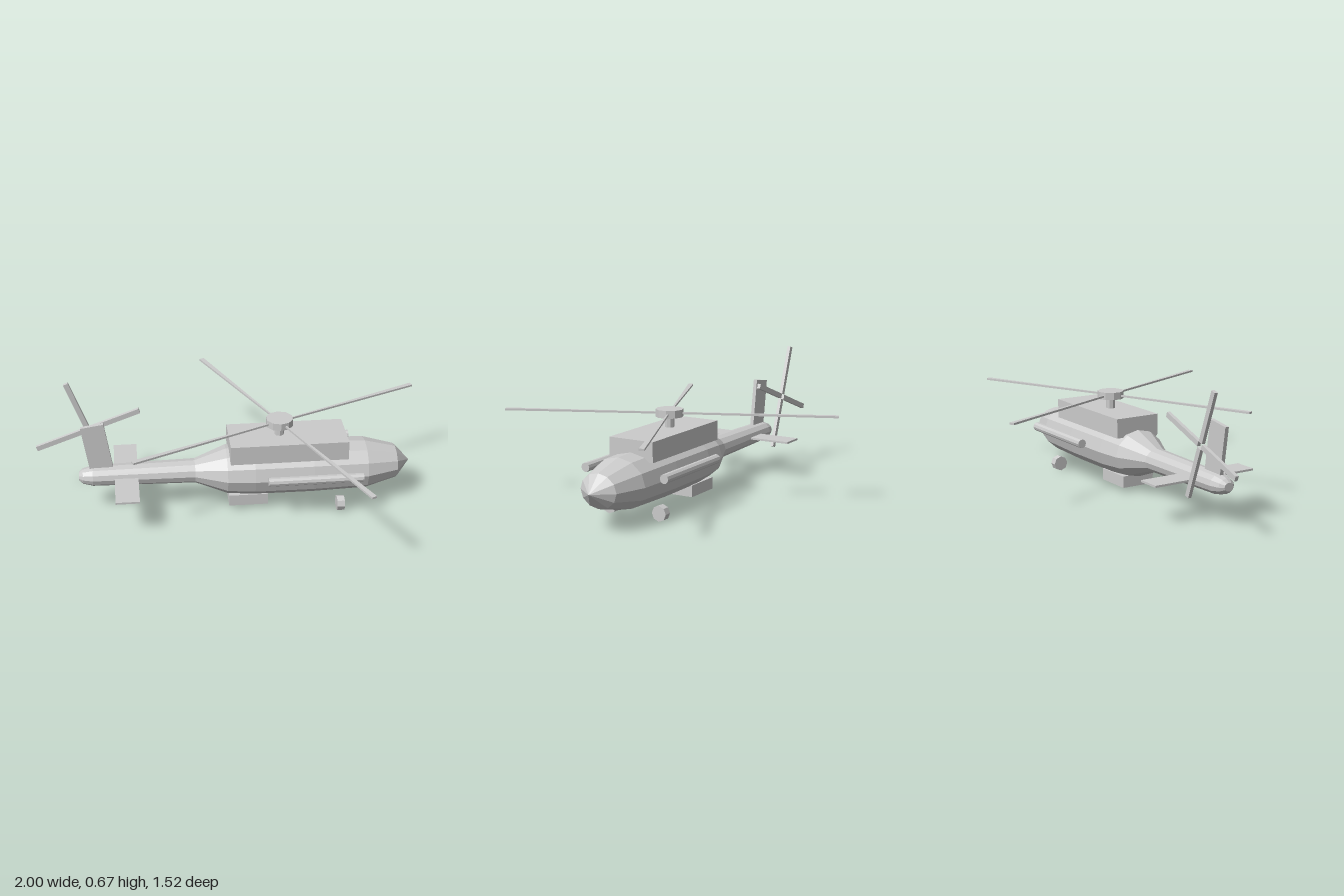
import * as THREE from 'three';

const material = new THREE.MeshStandardMaterial({ color: 0xcccccc, flatShading: true });

function add(parent, name, geometry, x = 0, y = 0, z = 0) {
  const mesh = new THREE.Mesh(geometry, material);
  mesh.name = name;
  mesh.position.set(x, y, z);
  parent.add(mesh);
  return mesh;
}

const box = (w, h, d) => new THREE.BoxGeometry(w, h, d);

// Cylinder lying along x
const rod = (radius, length, sides) =>
  new THREE.CylinderGeometry(radius, radius, length, sides).rotateZ(-Math.PI / 2);

// Main blade along +x, narrow at the hub and wide at the tip
function mainBlade(start, end) {
  const geometry = box(end - start, 0.01, 1).translate((start + end) / 2, 0, 0);
  const p = geometry.attributes.position;
  for (let i = 0; i < p.count; i++) {
    p.setZ(i, p.getZ(i) * (p.getX(i) > (start + end) / 2 ? 0.026 : 0.006));
  }
  return geometry;
}

export function createModel() {
  const model = new THREE.Group();
  model.name = 'helicopter';

  // Fuselage and tail boom: one faceted body, slightly flattened
  const profile = [
    [0, -0.79], [0.025, -0.79], [0.045, -0.77], [0.06, -0.72], [0.071, -0.2],
    [0.142, -0.04], [0.156, 0.1], [0.158, 0.4], [0.15, 0.68], [0.1, 0.84], [0, 0.917],
  ].map(([r, x]) => new THREE.Vector2(r, x));
  const hull = new THREE.LatheGeometry(profile, 12).rotateZ(-Math.PI / 2).scale(1, 0.84, 1);
  add(model, 'fuselage', hull, 0, 0.195, 0);

  // Engine housing on top, sponson box below
  add(model, 'engineHousing', box(0.6, 0.1, 0.245), 0.275, 0.336, 0);
  add(model, 'bellyBox', box(0.2, 0.06, 0.18), 0.07, 0.055, 0);

  // Side pods and wheels, mirrored
  for (const side of [-1, 1]) {
    add(model, 'sidePod', rod(0.023, 0.48, 10), 0.395, 0.236, side * 0.222);
    add(model, 'wheel', rod(0.039, 0.038, 8), 0.538, 0.041, side * 0.142);
  }

  // Tail surfaces
  add(model, 'stabilizer', box(0.12, 0.01, 0.57), -0.55, 0.198, 0);
  add(model, 'tailFin', box(0.118, 0.28, 0.02), -0.69, 0.345, 0).rotation.z = 0.15;

  // Main rotor
  const mainRotor = new THREE.Group();
  mainRotor.name = 'mainRotor';
  mainRotor.position.set(0.234, 0.456, 0);
  model.add(mainRotor);
  add(mainRotor, 'mast', new THREE.CylinderGeometry(0.024, 0.024, 0.08, 8), 0, -0.05, 0);
  add(mainRotor, 'hub', new THREE.CylinderGeometry(0.069, 0.069, 0.038, 10), 0, 0.002, 0);
  for (let i = 0; i < 4; i++) {
    add(mainRotor, 'mainBlade', mainBlade(0.02, 0.825)).rotation.y = 0.419 + i * Math.PI / 2;
  }

  // Tail rotor, set off to the right of the fin
  const tailRotor = new THREE.Group();
  tailRotor.name = 'tailRotor';
  tailRotor.position.set(-0.734, 0.398, -0.12);
  model.add(tailRotor);
  for (let i = 0; i < 4; i++) {
    const blade = box(0.267, 0.026, 0.018).translate(0.1485, 0, 0);
    add(tailRotor, 'tailBlade', blade).rotation.z = 0.349 + i * Math.PI / 2;
  }

  return model;
}
